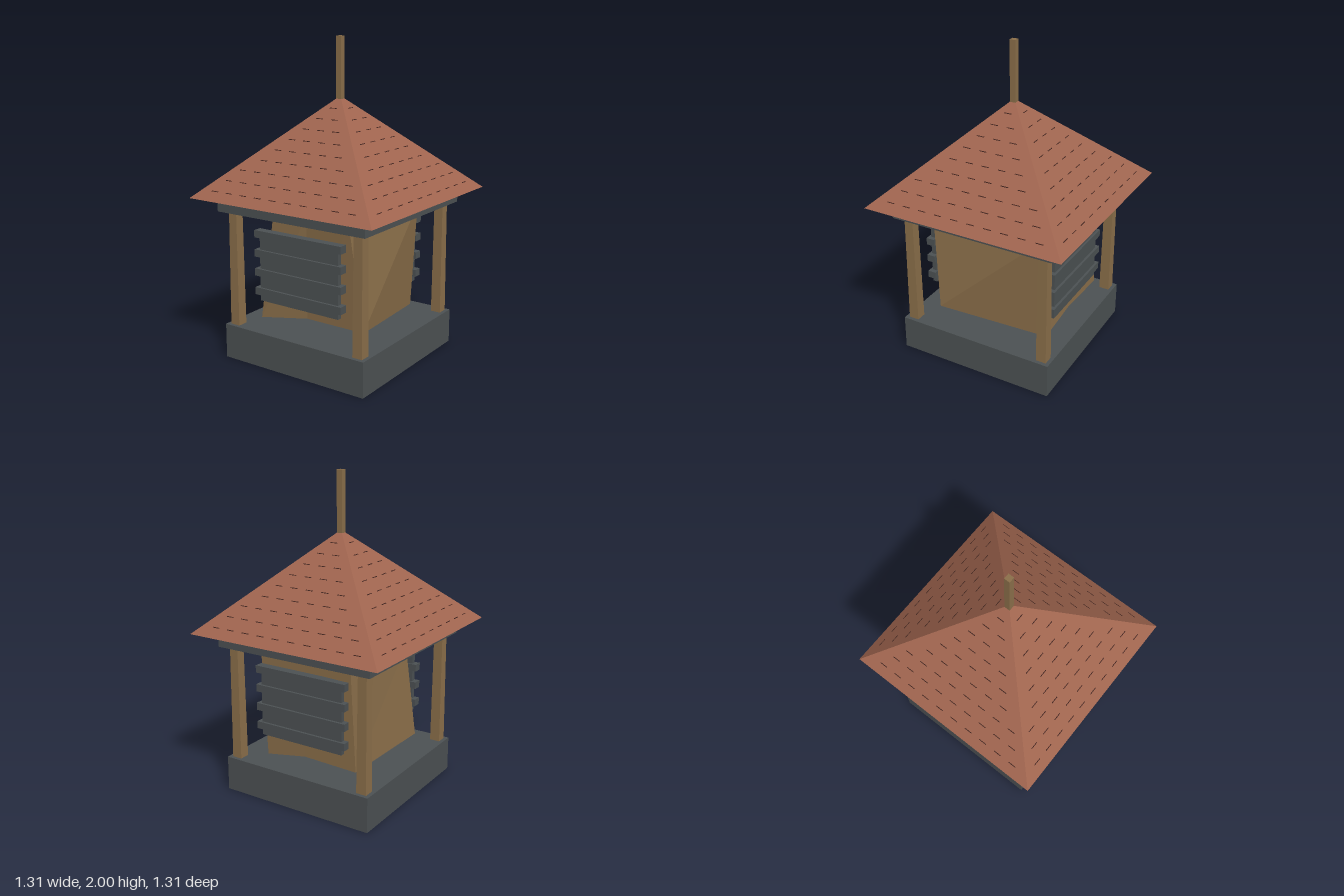
import * as THREE from 'three';

const flat = (name, color) => {
  const m = new THREE.MeshStandardMaterial({ color });
  m.name = name;
  return m;
};

export function createModel() {
  const group = new THREE.Group();
  group.name = 'lantern';
  const wood = flat('wood', 0x8b6f4a);
  const stone = flat('charcoal', 0x4c5153);
  const tile = flat('roofTile', 0xa0654f);
  const gap = flat('tileGap', 0x43251f);

  const add = (name, geo, mat, x = 0, y = 0, z = 0, parent = group) => {
    const mesh = new THREE.Mesh(geo, mat);
    mesh.name = name;
    mesh.position.set(x, y, z);
    parent.add(mesh);
    return mesh;
  };
  const box = (name, w, y0, y1, d, mat, x = 0, z = 0, parent = group) =>
    add(name, new THREE.BoxGeometry(w, y1 - y0, d), mat, x, (y0 + y1) / 2, z, parent);

  // Base slab, top frame and finial
  box('base', 1.034, 0, 0.22, 1.034, stone);
  box('topFrame', 1.074, 0.95, 1.042, 1.074, stone);
  box('finial', 0.037, 1.55, 2, 0.037, wood);

  // Corner posts, slightly wider at the foot
  for (const x of [-0.46, 0.46]) for (const z of [-0.46, 0.46]) {
    const geo = new THREE.CylinderGeometry(0.041, 0.047, 0.75, 4).toNonIndexed();
    geo.rotateY(Math.PI / 4);
    geo.computeVertexNormals();
    add('post', geo, wood, x, 0.585, z);
  }

  // Crooked wooden body: a box with each corner pulled out of true
  const corners = {
    '-1,-1,1': [-0.34, 0.26, 0.375], '0,-1,1': [0, 0.315, 0.35], '1,-1,1': [0.39, 0.30, 0.32],
    '-1,-1,-1': [-0.37, 0.30, -0.41], '0,-1,-1': [0, 0.305, -0.4], '1,-1,-1': [0.29, 0.25, -0.39],
    '-1,1,1': [-0.29, 0.88, 0.315], '0,1,1': [0, 0.965, 0.35], '1,1,1': [0.33, 0.965, 0.39],
    '-1,1,-1': [-0.33, 0.97, -0.41], '0,1,-1': [0, 0.96, -0.39], '1,1,-1': [0.34, 0.94, -0.375],
  };
  const body = new THREE.BoxGeometry(2, 2, 2, 2, 1, 1).toNonIndexed();
  const p = body.attributes.position;
  for (let i = 0; i < p.count; i++) {
    const key = [p.getX(i), p.getY(i), p.getZ(i)].map((v) => Math.round(v) + 0).join(',');
    p.setXYZ(i, ...corners[key]);
  }
  body.computeVertexNormals();
  add('body', body, wood);

  // Louvred shutters on the front and back
  for (const side of [1, -1]) {
    const shutter = new THREE.Group();
    shutter.name = side > 0 ? 'frontShutter' : 'backShutter';
    box('shutterPanel', 0.58, 0.4, 0.84, 0.03, stone, 0, side * 0.425, shutter);
    for (let i = 0; i < 4; i++) {
      const y = 0.825 - i * 0.121;
      box('slat', 0.64, y - 0.023, y + 0.023, 0.055, stone, 0, side * 0.4275, shutter);
    }
    group.add(shutter);
  }

  // Pyramid roof
  const half = 0.655, eave = 1.04, rise = 0.6;
  const roof = new THREE.ConeGeometry(half * Math.SQRT2, rise, 4).toNonIndexed();
  roof.rotateY(Math.PI / 4);
  roof.computeVertexNormals();
  add('roof', roof, tile, 0, eave + rise / 2, 0);

  // Fine broken lines between the tile rows on each slope
  const slope = Math.atan2(rise, half);
  const dash = new THREE.BoxGeometry(0.05, 0.002, 0.005);
  for (let s = 0; s < 4; s++) {
    const face = new THREE.Group();
    face.name = 'tileLines';
    face.rotation.y = s * Math.PI / 2;
    for (let row = 0; row < 9; row++) {
      const d = 0.075 + row * 0.0655;
      const n = Math.max(1, Math.floor((2 * d - 0.04) / 0.11));
      for (let i = 0; i < n; i++) {
        const x = (i - (n - 1) / 2) * 0.11;
        const line = add('tileLine', dash, gap, x, eave + rise * (1 - d / half), d, face);
        line.rotation.x = slope;
      }
    }
    group.add(face);
  }
  return group;
}
